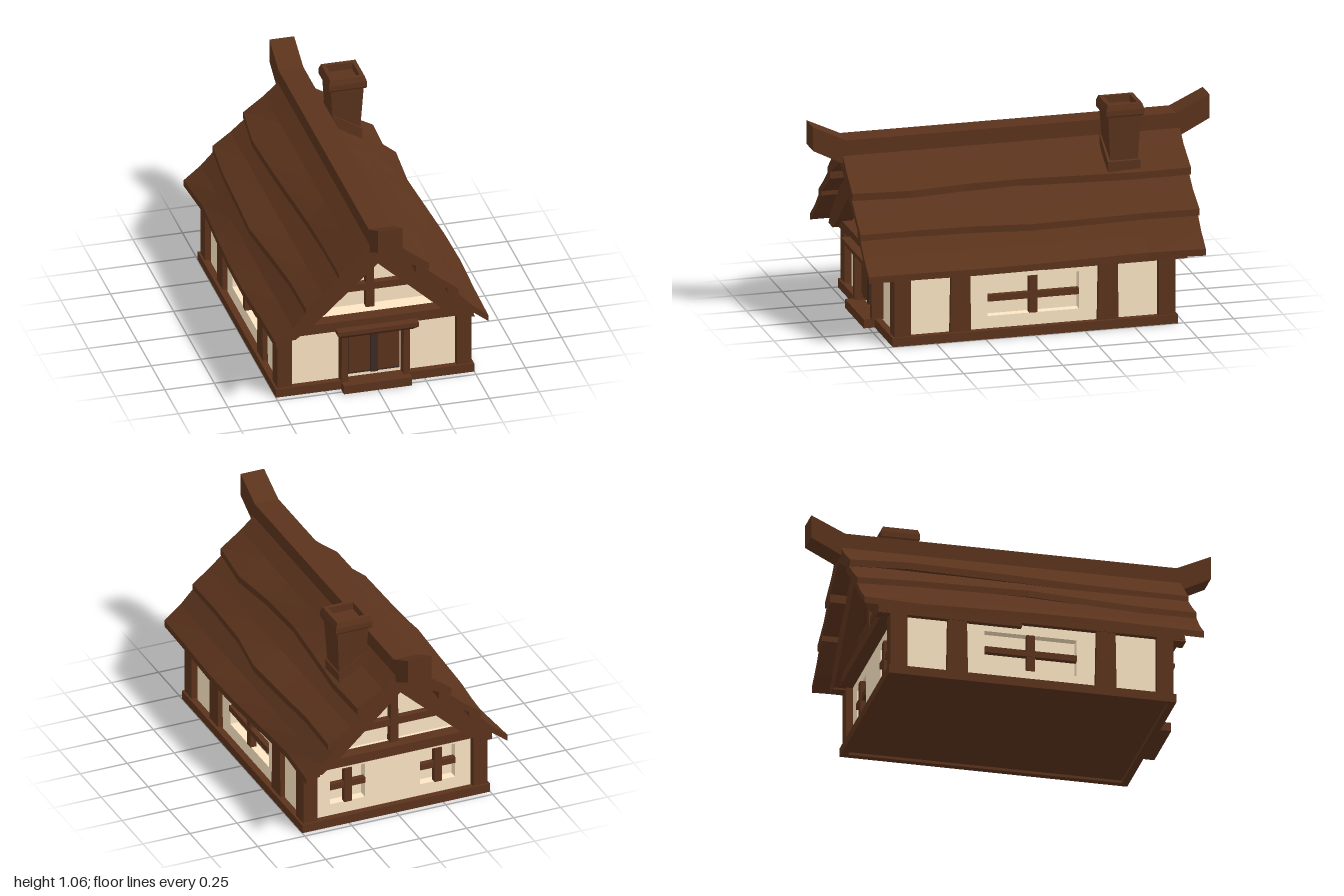
import * as THREE from 'three';

const mat = (color) => new THREE.MeshStandardMaterial({ color, flatShading: true });

export function createModel() {
  const model = new THREE.Group();
  const wood = mat(0x5b331c), plaster = mat(0xfde6c4), dark = mat(0x3c2a25);

  const add = (name, geo, material = wood, parent = model) => {
    const mesh = new THREE.Mesh(geo, material);
    mesh.name = name;
    parent.add(mesh);
    return mesh;
  };
  // Box between two corners; the bottom may be scaled for a taper
  const box = (name, x0, x1, y0, y1, z0, z1, material = wood, taperX = 1, taperZ = 1) => {
    const geo = new THREE.BoxGeometry(x1 - x0, y1 - y0, z1 - z0);
    const p = geo.attributes.position;
    for (let i = 0; i < p.count; i++) {
      if (p.getY(i) < 0) p.setXYZ(i, p.getX(i) * taperX, p.getY(i), p.getZ(i) * taperZ);
    }
    geo.translate((x0 + x1) / 2, (y0 + y1) / 2, (z0 + z1) / 2);
    return add(name, geo, material);
  };
  const poly = (pts) => new THREE.Shape(pts.map(([x, y]) => new THREE.Vector2(x, y)));
  const rect = (x0, x1, y0, y1) => poly([[x0, y0], [x1, y0], [x1, y1], [x0, y1]]);
  // Extrusion centred on its own depth
  const extrude = (shape, depth, steps = 1) =>
    new THREE.ExtrudeGeometry(shape, { depth, steps, bevelEnabled: false }).translate(0, 0, -depth / 2);

  box('floor', -0.458, 0.458, 0.01, 0.03, -0.68, 0.68);

  // Walls with recessed window openings
  for (const s of [-1, 1]) {
    const wall = rect(-0.67, 0.67, 0.015, 0.39);
    wall.holes.push(rect(-0.23, 0.23, 0.105, 0.295));
    add('sideWall', extrude(wall, 0.045).rotateY(-Math.PI / 2).translate(s * 0.4375, 0, 0), plaster);
    box('windowPanel', s * 0.412 - 0.005, s * 0.412 + 0.005, 0.1, 0.3, -0.235, 0.235, plaster);
    box('backWindowPanel', s * 0.24 - 0.1, s * 0.24 + 0.1, 0.095, 0.29, -0.63, -0.62, plaster);
  }
  box('frontWall', -0.43, 0.43, 0.015, 0.385, 0.58, 0.675, plaster);
  const backWall = rect(-0.43, 0.43, 0.015, 0.385);
  for (const s of [-1, 1]) backWall.holes.push(rect(s * 0.24 - 0.093, s * 0.24 + 0.093, 0.1, 0.285));
  add('backWall', extrude(backWall, 0.05).translate(0, 0, -0.65), plaster);

  // Sill beams around the base
  for (const s of [-1, 1]) {
    const x = s * 0.483, z = s * 0.703;
    box('sideSill', x - 0.017, x + 0.017, 0, 0.045, -0.72, 0.72);
    box('endSill', -0.466, 0.466, 0, 0.045, z - 0.017, z + 0.017);
  }

  // Posts, top plates and window bars
  for (const s of [-1, 1]) {
    for (const e of [-1, 1]) {
      const x = s * 0.4525, z = e * 0.667, zm = e * 0.372;
      box('cornerPost', x - 0.0375, x + 0.0375, 0.03, 0.345, z - 0.042, z + 0.042);
      box('sidePost', s * 0.455 - 0.03, s * 0.455 + 0.03, 0.03, 0.35, zm - 0.047, zm + 0.047, wood, 1, 1.12);
    }
    box('topPlateFront', s * 0.458 - 0.03, s * 0.458 + 0.03, 0.345, 0.375, -0.05, 0.76);
    box('topPlateBack', s * 0.458 - 0.03, s * 0.458 + 0.03, 0.325, 0.375, -0.77, -0.05);
    box('windowUpright', s * 0.448 - 0.016, s * 0.448 + 0.016, 0.105, 0.295, -0.02, 0.02);
    box('windowCrossbar', s * 0.452 - 0.014, s * 0.452 + 0.014, 0.18, 0.212, -0.23, 0.23);
    const x = s * 0.24;
    box('backWindowUpright', x - 0.02, x + 0.02, 0.1, 0.285, -0.685, -0.655);
    box('backWindowCrossbar', x - 0.093, x + 0.093, 0.18, 0.212, -0.68, -0.652);
  }

  // Gables: recessed infill and timbers behind broad rafters under the roof
  const half = [[0.49, 0.335], [0.45, 0.405], [0.36, 0.5], [0.3, 0.57], [0.2, 0.648],
    [0.13, 0.72], [0, 0.79]];
  const inner = [[0.415, 0.335], [0.32, 0.405], [0, 0.7]];
  const mirror = (pts) => pts.slice(0, -1).map(([x, y]) => [-x, y]).reverse();
  const rafterOutline = [...half, ...mirror(half), ...inner.slice(0, -1).map(([x, y]) => [-x, y]),
    ...[...inner].reverse()];
  for (const e of [-1, 1]) {
    const timberZ = e > 0 ? 0.605 : -0.675;
    const infill = poly([[-0.4, 0.38], [0.4, 0.38], [0, 0.76]]);
    add('gableInfill', extrude(infill, 0.02).translate(0, 0, timberZ - e * 0.025), plaster);
    box('kingPost', -0.018, 0.018, 0.37, 0.72, timberZ - 0.025, timberZ + 0.025, wood, 1.2);
    box('collarBeam', -0.3, 0.3, 0.478, 0.515, timberZ - 0.02, timberZ + 0.02);
    add('rafters', extrude(poly(rafterOutline), 0.08).translate(0, 0, e * 0.73));
    box('tieBeam', -0.45, 0.45, 0.335, 0.385, e * 0.705 - 0.035, e * 0.705 + 0.035);
  }

  // Door with two leaves, posts, threshold and hood
  box('doorBack', -0.131, 0.131, 0.065, 0.292, 0.67, 0.695, dark);
  for (const s of [-1, 1]) {
    box('doorLeaf', s * 0.073 - 0.053, s * 0.073 + 0.053, 0.078, 0.28, 0.68, 0.703);
    box('doorPost', s * 0.156 - 0.015, s * 0.156 + 0.015, 0.04, 0.31, 0.67, 0.735, wood, 1.12);
  }
  box('doorMullion', -0.018, 0.018, 0.066, 0.29, 0.68, 0.706, dark);
  box('doorStep', -0.172, 0.172, 0, 0.045, 0.7, 0.775);
  box('doorHood', -0.204, 0.204, 0.328, 0.35, 0.67, 0.785);
  box('doorHoodUnderside', -0.204, 0.204, 0.296, 0.328, 0.67, 0.785, wood, 0.9, 0.3);

  // Roof: three overlapping slabs per side, thinner towards their wavy lower edges
  const eaves = [0.535, 0.515, 0.53, 0.545, 0.55, 0.54, 0.535];
  const layers = [
    { top: [[0.33, 0.575], [0.45, 0.447], [0.54, 0.378]], thick: [0.045, 0.036, 0.033],
      right: eaves, left: eaves },
    { top: [[0.17, 0.725], [0.3, 0.612], [0.41, 0.547]], thick: [0.06, 0.038, 0.033],
      right: [0.42, 0.41, 0.425, 0.437, 0.395, 0.385, 0.385],
      left: [0.39, 0.415, 0.425, 0.437, 0.41, 0.387, 0.385] },
    { top: [[0, 0.91], [0.13, 0.79], [0.25, 0.712]], thick: [0.11, 0.068, 0.036],
      right: [0.265, 0.27, 0.245, 0.222, 0.23, 0.265, 0.235],
      left: [0.235, 0.268, 0.258, 0.243, 0.225, 0.218, 0.217] },
  ];
  const length = 1.7;
  for (const { top, thick, right, left } of layers) {
    for (const s of [-1, 1]) {
      const edges = s > 0 ? right : left;
      const under = top.map(([x, y], i) => [x, y - thick[i]]).reverse();
      const geo = extrude(poly([...top, ...under].map(([x, y]) => [s * x, y])), length, 6);
      const p = geo.attributes.position, edge = top[2][0], mid = top[1][0];
      for (let i = 0; i < p.count; i++) {
        const k = Math.round((p.getZ(i) / length + 0.5) * 6);
        const w = THREE.MathUtils.clamp((Math.abs(p.getX(i)) - mid) / (edge - mid), 0, 1);
        p.setX(i, p.getX(i) + s * w * (edges[k] - edge));
      }
      geo.computeVertexNormals();
      add('roofLayer', geo);
    }
  }

  // Ridge beam with upturned ends
  const ridge = poly([[-1, 0.89], [-0.84, 0.808], [0.84, 0.808], [1, 0.89],
    [1, 1.01], [0.83, 0.93], [-0.83, 0.93], [-1, 1.01]]);
  add('ridgeBeam', extrude(ridge, 0.125).rotateY(-Math.PI / 2));

  // Chimney: flared shaft, hollow cap and sloping collar
  const chimney = new THREE.Group();
  chimney.name = 'chimney';
  chimney.position.set(0.176, 0, -0.517);
  model.add(chimney);
  const square = (pts) => new THREE.LatheGeometry(
    pts.map(([r, y]) => new THREE.Vector2(r * Math.SQRT2, y)), 4, Math.PI / 4);
  add('chimneyShaft', square([[0.066, 0.72], [0.083, 1.003]]), wood, chimney);
  add('chimneyCap', square([[0.078, 1], [0.092, 1], [0.096, 1.008], [0.096, 1.035], [0.087, 1.062],
    [0.066, 1.062], [0.066, 1.025], [0, 1.025]]), wood, chimney);
  const collar = poly([[-0.078, 0.79], [0.072, 0.7], [0.076, 0.77], [-0.075, 0.865]]);
  add('chimneyCollar', extrude(collar, 0.165), wood, chimney);

  return model;
}
